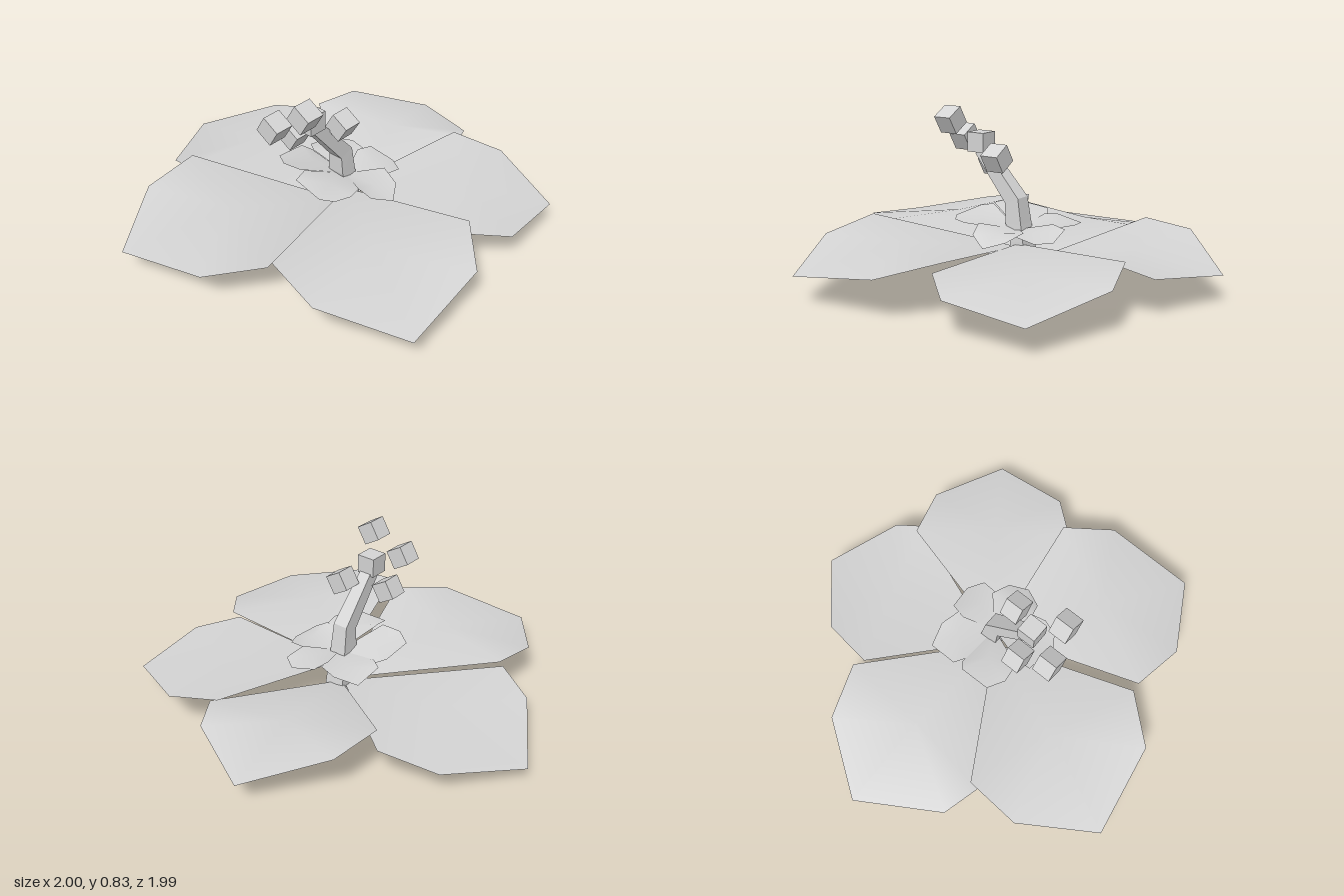
import * as THREE from 'three';

const grey = new THREE.MeshStandardMaterial({ color: 0xd4d4d4, side: THREE.DoubleSide });
grey.name = 'light grey';

// A petal is a fan round its middle: base first, then the rim points [x, y, z].
function petal(name, base, mid, rim) {
  const points = [mid, base, ...rim];
  const n = points.length - 1;
  const index = [];
  for (let i = 0; i < n; i++) index.push(0, 1 + i, 1 + (i + 1) % n);
  const g = new THREE.BufferGeometry();
  g.setAttribute('position', new THREE.Float32BufferAttribute(points.flat(), 3));
  g.setIndex(index);
  g.computeVertexNormals();
  const mesh = new THREE.Mesh(g, grey);
  mesh.name = name;
  return mesh;
}

// Hollow square stem skinned through cross-sections: [left x, left y, right x, right y, half depth].
function stem(sections, z) {
  const rings = sections.map(([x1, y1, x2, y2, h]) =>
    [[x1, y1, z + h], [x2, y2, z + h], [x2, y2, z - h], [x1, y1, z - h]]);
  const pos = [];
  for (let i = 0; i < rings.length - 1; i++) {
    const a = rings[i], b = rings[i + 1];
    for (let k = 0; k < 4; k++) {
      const m = (k + 1) % 4;
      pos.push(...a[k], ...a[m], ...b[m], ...a[k], ...b[m], ...b[k]);
    }
  }
  const g = new THREE.BufferGeometry();
  g.setAttribute('position', new THREE.Float32BufferAttribute(pos, 3));
  g.computeVertexNormals();
  const mesh = new THREE.Mesh(g, grey);
  mesh.name = 'stem';
  return mesh;
}

export function createModel() {
  const flower = new THREE.Group();
  flower.name = 'flower';

  // Large outer petals as [base, middle, rim]; the two front ones start higher up the stem
  const outer = [
    [[0.04, 0.075, 0.08], [0.04, 0.185, -0.52], [[0.49, 0.19, -0.49], [0.40, 0.14, -0.76], [0.05, 0.07, -1], [-0.35, 0.125, -0.76], [-0.41, 0.205, -0.58]]],
    [[0.03, 0.08, 0.09], [-0.52, 0.225, -0.14], [[-0.37, 0.25, -0.58], [-0.65, 0.20, -0.59], [-1, 0.13, -0.35], [-0.92, 0.20, 0.11], [-0.70, 0.225, 0.30]]],
    [[0.035, 0.165, 0.11], [-0.30, 0.24, 0.57], [[-0.70, 0.27, 0.33], [-0.745, 0.22, 0.61], [-0.55, 0.135, 0.99], [-0.08, 0.20, 0.97], [0.125, 0.26, 0.78]]],
    [[0.045, 0.18, 0.11], [0.41, 0.215, 0.56], [[0.08, 0.21, 0.78], [0.26, 0.17, 0.935], [0.65, 0.13, 0.91], [0.80, 0.20, 0.52], [0.72, 0.245, 0.27]]],
    [[0.05, 0.075, 0.09], [0.60, 0.21, -0.05], [[0.73, 0.23, 0.31], [0.85, 0.185, 0.25], [1, 0.135, -0.12], [0.70, 0.24, -0.42], [0.44, 0.255, -0.45]]],
  ];
  for (const [base, mid, rim] of outer) flower.add(petal('outerPetal', base, mid, rim));

  // Small inner petals
  const innerBase = [0.04, 0.25, 0.10];
  const inner = [
    [[-0.04, 0.30, -0.05], [[0.05, 0.28, -0.14], [0.02, 0.30, -0.18], [-0.14, 0.315, -0.18], [-0.19, 0.33, -0.10], [-0.18, 0.335, 0.0]]],
    [[-0.13, 0.30, 0.15], [[-0.17, 0.335, 0.02], [-0.24, 0.32, 0.03], [-0.26, 0.30, 0.20], [-0.22, 0.295, 0.26], [-0.14, 0.295, 0.29], [-0.05, 0.29, 0.27]]],
    [[0.04, 0.265, 0.28], [[-0.07, 0.30, 0.27], [-0.05, 0.26, 0.34], [0.05, 0.22, 0.395], [0.14, 0.25, 0.34], [0.17, 0.28, 0.24]]],
    [[0.18, 0.265, 0.16], [[0.14, 0.26, 0.26], [0.25, 0.245, 0.27], [0.30, 0.24, 0.19], [0.28, 0.275, 0.06], [0.20, 0.285, 0.04]]],
    [[0.16, 0.27, -0.04], [[0.24, 0.275, 0.05], [0.265, 0.27, -0.05], [0.23, 0.255, -0.17], [0.08, 0.28, -0.175], [0.045, 0.285, -0.12]]],
  ];
  for (const [mid, rim] of inner) flower.add(petal('innerPetal', innerBase, mid, rim));

  // Bent, tapering stem through the middle, open at its foot
  flower.add(stem([
    [0.02, 0, 0.115, 0.045, 0.055],
    [0.015, 0.19, 0.09, 0.20, 0.05],
    [-0.015, 0.28, 0.075, 0.28, 0.045],
    [-0.02, 0.375, 0.055, 0.405, 0.04],
    [-0.205, 0.60, -0.14, 0.62, 0.032],
  ], 0.085));

  // Pollen cubes: one upright on the stem tip, four tilted around it
  const cube = new THREE.BoxGeometry(0.096, 0.096, 0.096);
  const cubes = [
    [-0.192, 0.655, 0.085, 0],
    [-0.315, 0.762, 0.168, 0.54],
    [-0.048, 0.595, 0.152, 0.54],
    [-0.352, 0.658, 0.012, 0.54],
    [-0.196, 0.542, -0.018, 0.54],
  ];
  for (const [x, y, z, tilt] of cubes) {
    const mesh = new THREE.Mesh(cube, grey);
    mesh.name = 'pollenCube';
    mesh.position.set(x, y, z);
    mesh.rotation.x = tilt;
    flower.add(mesh);
  }
  return flower;
}
